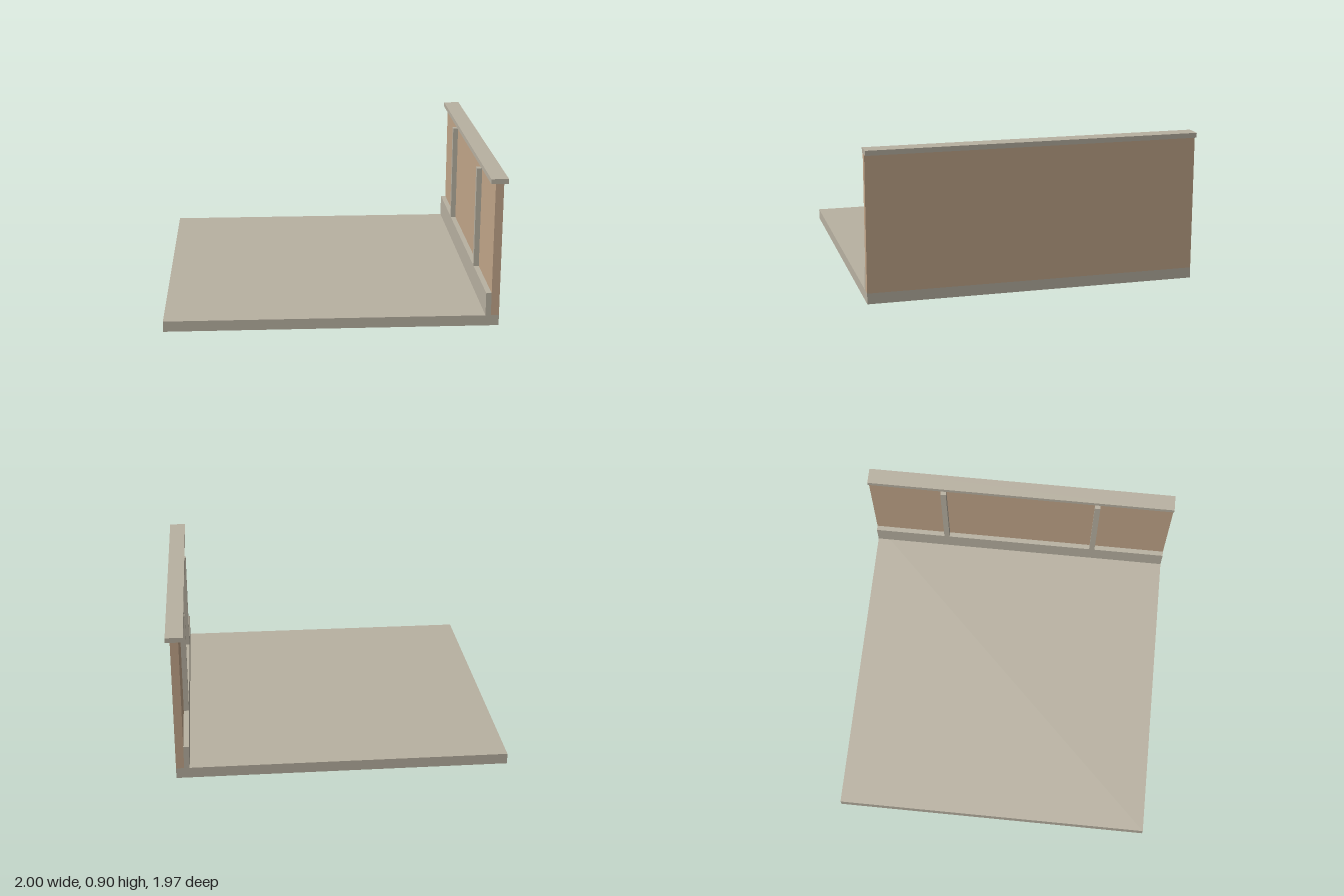
import * as THREE from 'three';

const stone = new THREE.MeshStandardMaterial({ color: 0xb8b1a1 });
const plaster = new THREE.MeshStandardMaterial({ color: 0xc2a68a });

const HALF = 0.987; // half the depth along z

export function createModel() {
  const model = new THREE.Group();
  model.name = 'balconyWithParapet';

  // Box given by its limits on each axis
  const slab = (name, material, [x0, x1], [y0, y1], [z0, z1] = [-HALF, HALF]) => {
    const mesh = new THREE.Mesh(new THREE.BoxGeometry(x1 - x0, y1 - y0, z1 - z0), material);
    mesh.position.set((x0 + x1) / 2, (y0 + y1) / 2, (z0 + z1) / 2);
    mesh.name = name;
    model.add(mesh);
  };

  // Floor, wall and its coping
  slab('floor', stone, [-1, 0.973], [0, 0.064]);
  slab('wall', plaster, [0.925, 0.973], [0.064, 0.869]);
  slab('coping', stone, [0.898, 1], [0.869, 0.898]);

  // Skirting along the inner foot of the wall
  slab('skirting', stone, [0.893, 0.925], [0.064, 0.203]);

  // Two pilasters standing on the skirting
  for (const z of [-0.5, 0.5]) {
    slab('pilaster', stone, [0.893, 0.925], [0.203, 0.832], [z - 0.018, z + 0.018]);
  }

  return model;
}
